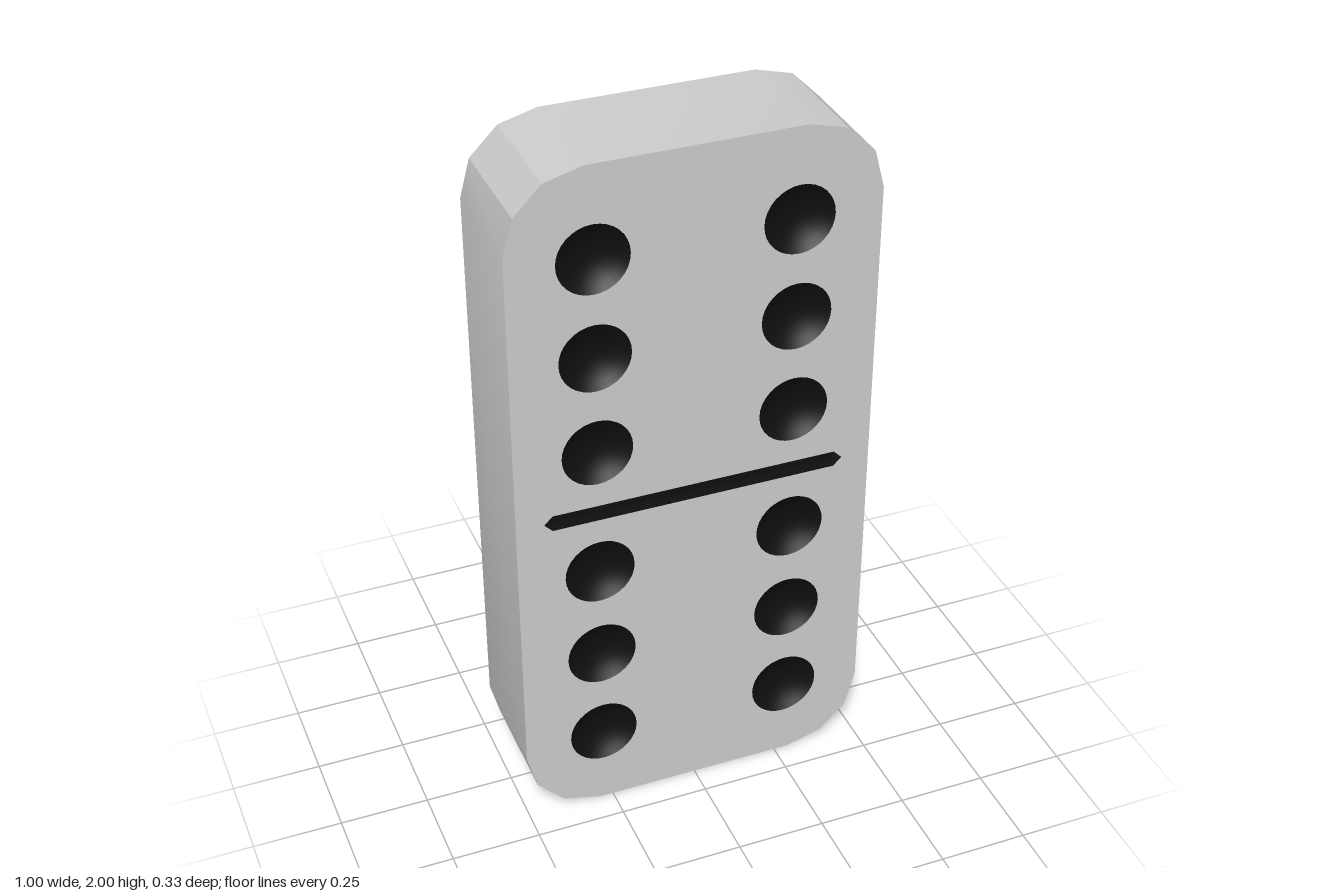
import * as THREE from 'three';
import { toCreasedNormals } from 'three/addons/utils/BufferGeometryUtils.js';

const W = 0.5, H = 2, Z = 0.167, CORNER = 0.21;
const PIP_R = 0.097, PIP_DEPTH = 0.035, PIP_X = 0.273, SEGS = 32;
const PIP_ROWS = [0.24, 0.52, 0.8, 1.18, 1.463, 1.743];
const GROOVE_DEPTH = 0.03;

const v = (x, y) => new THREE.Vector2(x, y);

// Counter-clockwise outline with three facets on each rounded corner
function tileOutline() {
  const pts = [];
  const cx = W - CORNER, top = H - CORNER;
  [[cx, top], [-cx, top], [-cx, CORNER], [cx, CORNER]].forEach(([x, y], q) => {
    for (let i = 0; i <= 3; i++) {
      const a = (q + i / 3) * Math.PI / 2;
      pts.push(v(x + CORNER * Math.cos(a), y + CORNER * Math.sin(a)));
    }
  });
  return pts;
}

// Band of quads along a closed outline; faces outward when counter-clockwise
function wall(outline, z0, z1) {
  const pos = [];
  outline.forEach((a, i) => {
    const b = outline[(i + 1) % outline.length];
    pos.push(a.x, a.y, z0, b.x, b.y, z0, b.x, b.y, z1);
    pos.push(a.x, a.y, z0, b.x, b.y, z1, a.x, a.y, z1);
  });
  const geo = new THREE.BufferGeometry();
  geo.setAttribute('position', new THREE.Float32BufferAttribute(pos, 3));
  return toCreasedNormals(geo, 0.45);
}

export function createModel() {
  const model = new THREE.Group();
  model.name = 'dominoTile';
  const grey = new THREE.MeshStandardMaterial({ color: 0xcccccc });
  const black = new THREE.MeshStandardMaterial({ color: 0x0f0f0f });
  const add = (name, geo, mat, parent = model) => {
    const mesh = new THREE.Mesh(geo, mat);
    mesh.name = name;
    parent.add(mesh);
    return mesh;
  };

  const outline = tileOutline();
  const groove = [
    v(-0.423, 0.991), v(-0.4, 0.968), v(0.397, 0.968),
    v(0.42, 0.991), v(0.397, 1.014), v(-0.4, 1.014),
  ];
  const pipCentres = PIP_ROWS.flatMap(y => [v(-PIP_X, y), v(PIP_X, y)]);

  // Tile: rim, back, and a front face opened for the pips and groove
  const front = new THREE.Shape(outline);
  front.holes.push(new THREE.Path(groove));
  for (const c of pipCentres) {
    const ring = [];
    for (let i = 0; i < SEGS; i++) {
      const a = i / SEGS * Math.PI * 2;
      ring.push(v(c.x + PIP_R * Math.cos(a), c.y + PIP_R * Math.sin(a)));
    }
    front.holes.push(new THREE.Path(ring));
  }
  add('tileRim', wall(outline, -Z, Z), grey);
  add('tileFront', new THREE.ShapeGeometry(front).translate(0, 0, Z), grey);
  add('tileBack', new THREE.ShapeGeometry(new THREE.Shape(outline)).rotateY(Math.PI).translate(0, 0, -Z), grey);

  // Pips: shallow round dimples
  const profile = [];
  for (let i = 0; i <= 6; i++) {
    const r = 1 - i / 6;
    profile.push(v(PIP_R * r, -PIP_DEPTH * (1 - r * r)));
  }
  const bowl = new THREE.LatheGeometry(profile, SEGS).rotateX(Math.PI / 2);
  const pips = new THREE.Group();
  pips.name = 'pips';
  model.add(pips);
  for (const c of pipCentres) add('pip', bowl, black, pips).position.set(c.x, c.y, Z);

  // Dividing groove with pointed ends
  const divider = new THREE.Group();
  divider.name = 'divider';
  model.add(divider);
  add('dividerWalls', wall([...groove].reverse(), Z - GROOVE_DEPTH, Z), black, divider);
  add('dividerFloor', new THREE.ShapeGeometry(new THREE.Shape(groove)).translate(0, 0, Z - GROOVE_DEPTH), black, divider);

  return model;
}
